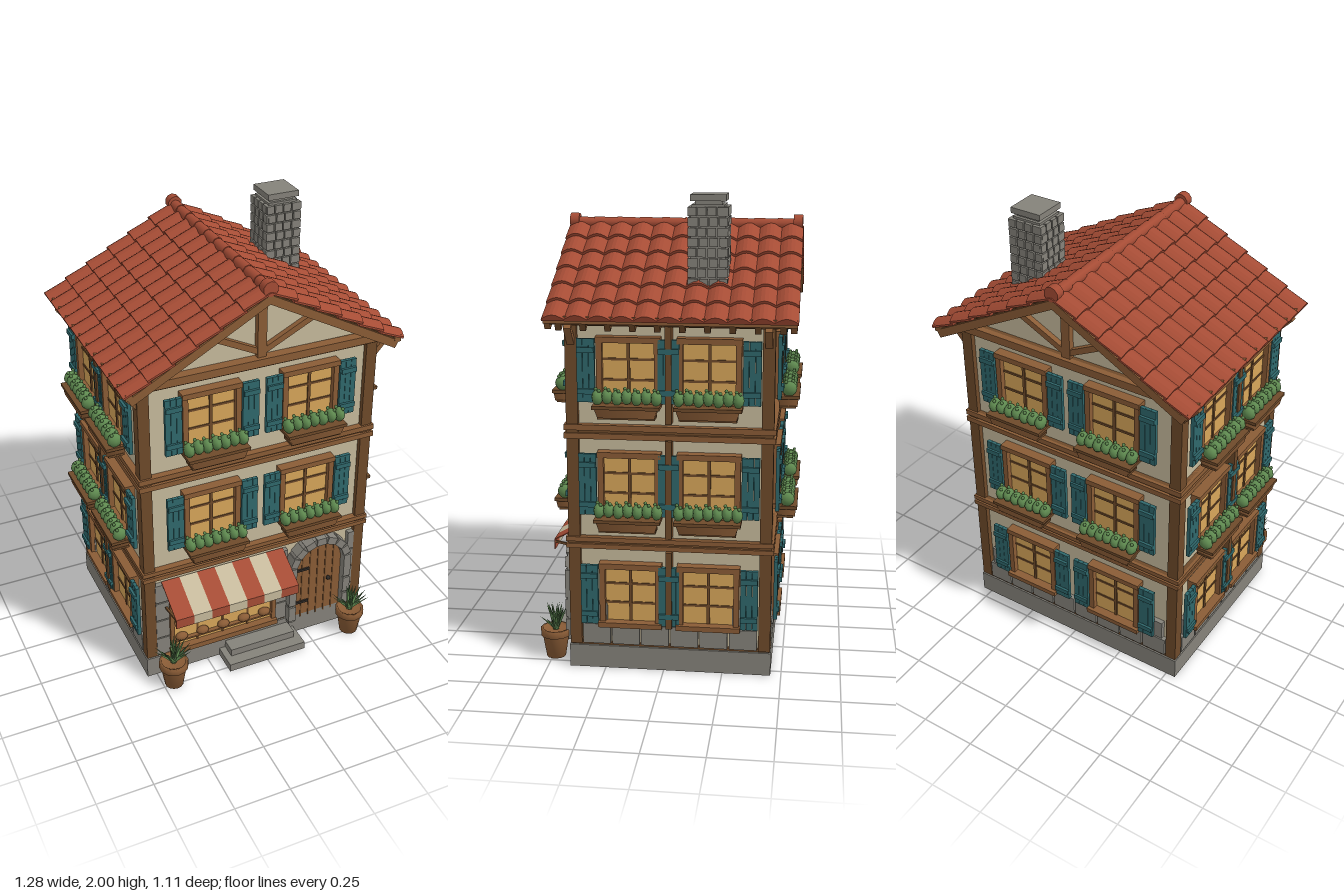
import * as THREE from 'three';

const mat = (name, color) => Object.assign(new THREE.MeshStandardMaterial({ color }), { name });
const plaster = mat('plaster', 0xc6ba9c), glass = mat('warm glass', 0xd8a65a), teal = mat('teal paint', 0x2f686c),
  timber = mat('dark timber', 0x6e4a2a), oak = mat('light timber', 0x8a5c36), stone = mat('stone', 0x85827a),
  tile = mat('roof tile red', 0xa54c35), green = mat('flower green', 0x5f8a50), leafMat = mat('leaf green', 0x48663f),
  iron = mat('iron', 0x2f2a26);

const ZC = -0.025;            // building centre in z
const HW = 0.52, HD = 0.405;  // wall half width and half depth

function add(parent, name, geo, material, x = 0, y = 0, z = 0, rx = 0, ry = 0, rz = 0) {
  const m = new THREE.Mesh(geo, material);
  m.name = name;
  m.position.set(x, y, z);
  m.rotation.set(rx, ry, rz);
  parent.add(m);
  return m;
}
const box = (p, name, m, w, h, d, x, y, z, rx, ry, rz) => add(p, name, new THREE.BoxGeometry(w, h, d), m, x, y, z, rx, ry, rz);

// bar between two points of a wall plane
function bar(p, name, m, x0, y0, x1, y1, t, d, z) {
  const l = Math.hypot(x1 - x0, y1 - y0);
  return box(p, name, m, l, t, d, (x0 + x1) / 2, (y0 + y1) / 2, z, 0, 0, Math.atan2(y1 - y0, x1 - x0));
}
function group(parent, name, x = 0, y = 0, z = 0, ry = 0) {
  const g = new THREE.Group();
  g.name = name;
  g.position.set(x, y, z);
  g.rotation.y = ry;
  parent.add(g);
  return g;
}

function planter(w) {
  const g = group(w, 'flowerBox');
  const trough = new THREE.CylinderGeometry(0.165, 0.148, 0.04, 4, 1).rotateY(Math.PI / 4).scale(1.1, 1, 0.36);
  add(g, 'trough', trough, oak, 0, -0.16, 0.072);
  box(g, 'troughRim', timber, 0.275, 0.014, 0.094, 0, -0.137, 0.072);
  box(g, 'troughFoot', timber, 0.235, 0.01, 0.07, 0, -0.182, 0.068);
  for (let i = 0; i < 7; i++) {
    const x = -0.12 + i * 0.04, y = -0.102 + (i % 2) * 0.004;
    add(g, 'bush', new THREE.SphereGeometry(0.025, 8, 6).scale(0.95, 1.25, 1.3), green, x, y, 0.075);
    for (const s of [-1, 1])
      add(g, 'bud', new THREE.SphereGeometry(0.008, 6, 4), green, x + s * 0.009, y + 0.03, 0.075 + s * 0.014);
  }
}

// window with shutters, local z points out of the wall
function windowUnit(parent, x, y, boxed) {
  const w = group(parent, 'window', x, y, 0);
  box(w, 'pane', glass, 0.22, 0.25, 0.016, 0, 0, 0.008);
  for (const s of [-1, 1]) {
    box(w, 'frameSide', oak, 0.024, 0.26, 0.04, s * 0.118, 0, 0.02);
    const sh = group(w, 'shutter', s * 0.172, 0, 0.036);
    for (let i = -1; i <= 1; i++) box(sh, 'board', teal, 0.0235, 0.262, 0.016, i * 0.025, 0, -s * 0.001);
    for (const v of [-1, 1]) box(sh, 'batten', teal, 0.07, 0.022, 0.012, 0, v * 0.085, 0.012);
  }
  box(w, 'lintel', oak, 0.265, 0.024, 0.045, 0, 0.127, 0.0225);
  box(w, 'sill', oak, 0.27, 0.022, 0.056, 0, -0.132, 0.028);
  box(w, 'mullion', timber, 0.013, 0.24, 0.022, 0, 0, 0.011);
  for (const v of [-0.04, 0.045]) box(w, 'glazingBar', timber, 0.22, 0.01, 0.02, 0, v, 0.01);
  if (boxed) planter(w);
}

function archShape(r, h, inner) {
  const s = new THREE.Shape();
  s.moveTo(-r, 0);
  s.lineTo(-r, h);
  s.absarc(0, h, r, Math.PI, 0, true);
  s.lineTo(r, 0);
  if (inner) {
    s.lineTo(inner, 0);
    s.lineTo(inner, h);
    s.absarc(0, h, inner, 0, Math.PI, false);
    s.lineTo(-inner, 0);
  }
  return s;
}
const extrude = (s, depth) => new THREE.ExtrudeGeometry(s, { depth, bevelEnabled: false, curveSegments: 14 });

function shopFront(f) {
  // display window with loaves
  const shop = group(f, 'shopWindow', -0.17, 0, 0);
  box(shop, 'shopGlass', glass, 0.5, 0.29, 0.016, 0, 0.27, 0.008);
  box(shop, 'shopSill', oak, 0.53, 0.026, 0.05, 0, 0.12, 0.025);
  for (const x of [-0.252, 0.252]) box(shop, 'shopFrame', oak, 0.02, 0.29, 0.035, x, 0.27, 0.018);
  for (const x of [-0.125, 0, 0.125]) box(shop, 'shopBar', timber, 0.01, 0.28, 0.02, x, 0.27, 0.01);
  for (const y of [0.28, 0.185]) {
    box(shop, 'shelf', oak, 0.49, 0.008, 0.035, 0, y - 0.02, 0.018);
    for (let i = 0; i < 5; i++)
      add(shop, 'loaf', new THREE.SphereGeometry(0.03, 10, 6).scale(1, 0.65, 0.7), oak, -0.207 + i * 0.103, y, 0.028);
  }
  // striped awning
  const awn = group(f, 'awning', -0.165, 0, 0);
  const sw = 0.59 / 7;
  for (let i = 0; i < 7; i++) {
    const m = i % 2 ? plaster : tile, x = (i - 3) * sw;
    box(awn, 'awningStripe', m, sw, 0.005, 0.19, x, 0.465, 0.093, 0.5);
    box(awn, 'valance', m, sw, 0.046, 0.005, x, 0.398, 0.175);
  }
  for (const s of [-1, 1]) box(awn, 'awningArm', timber, 0.01, 0.01, 0.14, s * 0.285, 0.395, 0.105, -0.2);
  // arched door
  const d = group(f, 'door', 0.308, 0.085, 0);
  add(d, 'doorLeaf', extrude(archShape(0.12, 0.295), 0.025), oak);
  for (let i = -2; i <= 2; i++) {
    const top = 0.295 + Math.sqrt(0.118 ** 2 - (i * 0.04) ** 2);
    box(d, 'plankGap', timber, 0.006, top, 0.006, i * 0.04, top / 2, 0.025);
  }
  add(d, 'doorArch', extrude(archShape(0.155, 0.295, 0.122), 0.05), stone);
  for (let i = 0; i <= 8; i++) {
    const a = (i / 8) * Math.PI;
    box(d, 'archStone', stone, 0.036, 0.047, 0.058, Math.cos(a) * 0.14, 0.295 + Math.sin(a) * 0.14, 0.029, 0, 0, a);
  }
  for (const s of [-1, 1]) for (let i = 0; i < 3; i++)
    box(d, 'jambStone', stone, 0.036, 0.08, 0.058, s * 0.14, 0.055 + i * 0.09, 0.029);
  for (const y of [0.09, 0.28]) box(d, 'hinge', iron, 0.07, 0.012, 0.008, -0.08, y, 0.029);
  add(d, 'doorKnob', new THREE.SphereGeometry(0.011, 8, 6), iron, 0.055, 0.195, 0.034);
  // masonry beside the openings
  for (const [x, w] of [[-0.462, 0.064], [0.122, 0.058], [0.478, 0.03]])
    for (let i = 0; i < 4; i++) box(f, 'wallStone', stone, w, 0.094, 0.024, x, 0.155 + i * 0.1, 0.012);
}

function stoneCourse(f, half) {
  const n = Math.round(half * 2 / 0.13), w = (half * 2) / n;
  for (let i = 0; i < n; i++)
    box(f, 'wallStone', stone, w - 0.008, 0.088, 0.024, -half + (i + 0.5) * w, 0.154, 0.012);
  for (const s of [-1, 1]) box(f, 'quoin', stone, 0.09, 0.09, 0.022, s * (half - 0.065), 0.248, 0.011);
}

function roof(root) {
  const r = group(root, 'roof', 0, 0, -0.033);
  const slope = Math.atan(0.545), len = 0.69, depth = 1.02, cols = 11, rows = 6;
  // scalloped section of one tile course
  const s = new THREE.Shape(), cw = depth / cols;
  s.moveTo(-depth / 2, 0);
  for (let i = 0; i < cols; i++) for (let k = 0; k <= 6; k++)
    s.lineTo(-depth / 2 + (i + k / 6) * cw, 0.008 + 0.02 * Math.sin(Math.PI * k / 6));
  s.lineTo(depth / 2, 0);
  const course = extrude(s, len / rows + 0.012).rotateY(Math.PI / 2);
  for (const side of [0, Math.PI]) {
    const turn = group(r, 'roofSide', 0, 1.842, 0, side);
    const p = group(turn, 'roofPitch');
    p.rotation.z = -slope;
    box(p, 'roofDeck', timber, len - 0.01, 0.02, depth - 0.03, len / 2, -0.012, 0);
    for (let i = 0; i < rows; i++) add(p, 'tileCourse', course, tile, i * len / rows, -0.004, 0, 0, 0, 0.1);
    for (const z of [-1, 1]) box(p, 'bargeBoard', oak, len, 0.036, 0.025, len / 2, -0.024, z * (depth / 2 - 0.018));
    for (let i = 0; i < 10; i++) box(p, 'rafterTail', timber, 0.16, 0.03, 0.025, len - 0.085, -0.036, -0.45 + i * 0.1);
    box(turn, 'eavePurlin', oak, 0.03, 0.03, depth - 0.01, 0.597, -0.325, 0);
  }
  // ridge caps
  for (let i = 0; i < 10; i++)
    add(r, 'ridgeTile', new THREE.CylinderGeometry(0.026, 0.023, 0.104, 10), tile, 0, 1.852, -0.45 + i * 0.1, Math.PI / 2);
  for (const z of [-1, 1]) add(r, 'ridgeEnd', new THREE.CylinderGeometry(0.033, 0.033, 0.04, 10), tile, 0, 1.86, z * 0.487, Math.PI / 2);
}

function chimney(root) {
  const c = group(root, 'chimney', 0.335, 0, -0.167);
  box(c, 'chimneyCore', stone, 0.146, 0.4, 0.142, 0, 1.74, 0);
  for (let row = 0; row < 9; row++) for (let k = 0; k < 4; k++) {
    const side = group(c, 'chimneyStones', 0, 1.605 + row * 0.041, 0, k * Math.PI / 2);
    for (let i = 0; i < 4; i++)
      box(side, 'chimneyStone', stone, 0.034, 0.035, 0.016, -0.06 + i * 0.04 + (row % 2 ? 0.004 : -0.004), 0, 0.074);
  }
  box(c, 'chimneyCollar', stone, 0.135, 0.03, 0.135, 0, 1.945, 0);
  box(c, 'chimneyNeck', stone, 0.11, 0.02, 0.11, 0, 1.968, 0);
  box(c, 'chimneyCap', stone, 0.145, 0.026, 0.145, 0, 1.987, 0);
}

function pottedPlant(root, x) {
  const g = group(root, 'pottedPlant', x, 0, 0.488);
  const prof = [[0, 0], [0.042, 0], [0.058, 0.1], [0.066, 0.1], [0.066, 0.13], [0.054, 0.13], [0.052, 0.118], [0, 0.118]];
  add(g, 'pot', new THREE.LatheGeometry(prof.map(([a, b]) => new THREE.Vector2(a, b)), 14), oak);
  for (let i = 0; i < 20; i++) {
    const leaf = new THREE.ConeGeometry(0.014, 0.125 - (i % 3) * 0.012, 4).scale(1, 1, 0.5).translate(0, 0.06, 0);
    leaf.rotateX(0.15 + (i % 4) * 0.22).rotateY(i * 2.4);
    add(g, 'leaf', leaf, i % 3 ? leafMat : green, 0, 0.125, 0);
  }
}

export function createModel() {
  const root = new THREE.Group();
  root.name = 'townhouse';
  const house = group(root, 'house', 0, 0, ZC);

  // walls and base
  box(house, 'base', stone, 1.09, 0.1, 0.86, 0, 0.05, 0);
  box(house, 'walls', plaster, HW * 2, 1.42, HD * 2, 0, 0.81, 0);
  const tri = new THREE.Shape([[-0.52, 1.515], [0.52, 1.515], [0, 1.805]].map(([a, b]) => new THREE.Vector2(a, b)));
  add(house, 'gable', extrude(tri, HD * 2), plaster, 0, 0, -HD);

  // storey bands, made of two beams and a recessed middle
  for (const [y, h] of [[0.564, 0.05], [1.045, 0.06], [1.508, 0.045]]) {
    box(house, 'bandCore', timber, 1.075, h, 0.845, 0, y, 0);
    for (const s of [-1, 1]) box(house, 'bandBeam', oak, 1.1, h * 0.4, 0.872, 0, y + s * h * 0.3, 0);
  }
  box(house, 'groundSill', timber, 1.07, 0.012, 0.845, 0, 0.106, 0);
  for (const z of [-1, 1]) box(house, 'tieBeam', oak, 1.18, 0.035, 0.04, 0, 1.513, z * 0.43);

  // corner posts and eave braces
  for (const x of [-1, 1]) for (const z of [-1, 1]) {
    box(house, 'cornerPost', timber, 0.05, 1.39, 0.05, x * 0.517, 0.8, z * 0.402);
    bar(house, 'eaveBrace', oak, x * 0.53, 1.41, x * 0.6, 1.49, 0.022, 0.03, z * 0.402);
  }

  // the four faces
  ['frontFace', 'leftFace', 'backFace', 'rightFace'].forEach((name, k) => {
    const wide = k % 2 === 0, dist = wide ? HD : HW, cx = wide ? 0.225 : 0.165, a = k * Math.PI / 2;
    const f = group(house, name, Math.sin(a) * dist, 0, Math.cos(a) * dist, a);
    for (const x of [-cx, cx]) {
      windowUnit(f, x, 1.305, true);
      windowUnit(f, x, 0.825, true);
      if (k) windowUnit(f, x, 0.34, false);
    }
    if (!wide) for (const [y, h] of [[1.29, 0.4], [0.81, 0.42], [0.37, 0.34]])
      box(f, 'middlePost', timber, 0.026, h, 0.052, 0, y, 0.026);
    if (k) stoneCourse(f, wide ? 0.49 : 0.375);
    else shopFront(f);
    // gable framing
    if (wide) {
      box(f, 'kingPost', oak, 0.04, 0.27, 0.03, 0, 1.66, 0.012);
      for (const s of [-1, 1]) {
        bar(f, 'gableStrut', oak, 0, 1.55, s * 0.25, 1.675, 0.026, 0.026, 0.012);
        bar(f, 'gableRafter', oak, 0, 1.8, s * 0.53, 1.512, 0.034, 0.03, 0.012);
      }
    }
  });

  roof(root);
  chimney(root);
  // door steps
  box(root, 'lowerStep', stone, 0.38, 0.038, 0.14, 0, 0.019, 0.458);
  box(root, 'upperStep', stone, 0.32, 0.036, 0.08, 0, 0.055, 0.435);
  for (const x of [-0.45, 0.445]) pottedPlant(root, x);
  return root;
}
